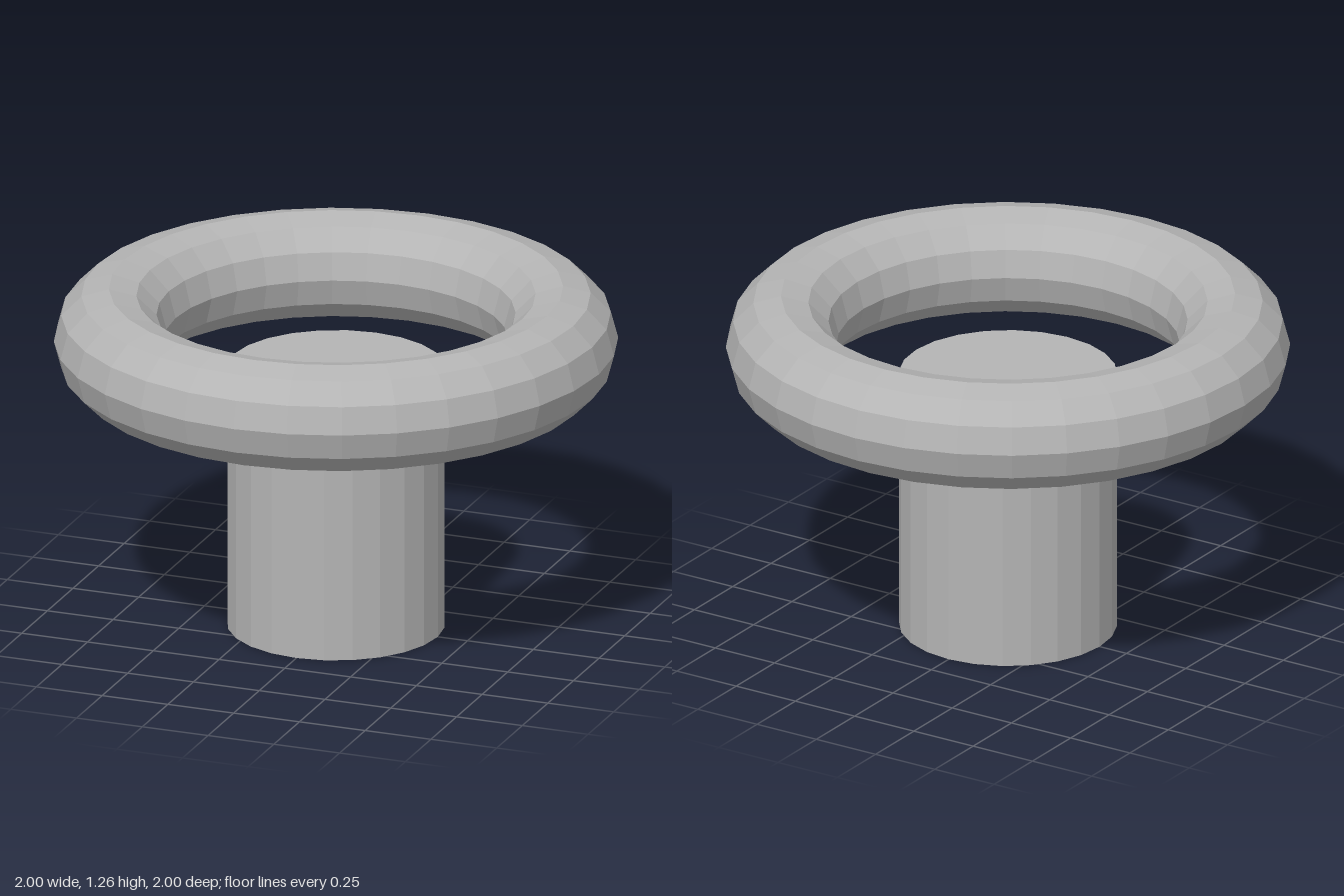
import * as THREE from 'three';

export function createModel() {
  const model = new THREE.Group();
  const grey = new THREE.MeshStandardMaterial({ color: 0xb4b4b4 });
  grey.name = 'grey';
  grey.flatShading = true;

  const add = (name, geometry, y) => {
    const mesh = new THREE.Mesh(geometry, grey);
    mesh.name = name;
    mesh.position.y = y;
    model.add(mesh);
  };

  // Solid post standing on the ground
  const postHeight = 0.965;
  add('post', new THREE.CylinderGeometry(0.387, 0.387, postHeight, 24), postHeight / 2);

  // Faceted ring floating level around the top of the post
  add('ring', new THREE.TorusGeometry(0.805, 0.195, 12, 32).rotateX(Math.PI / 2), 1.07);

  return model;
}
